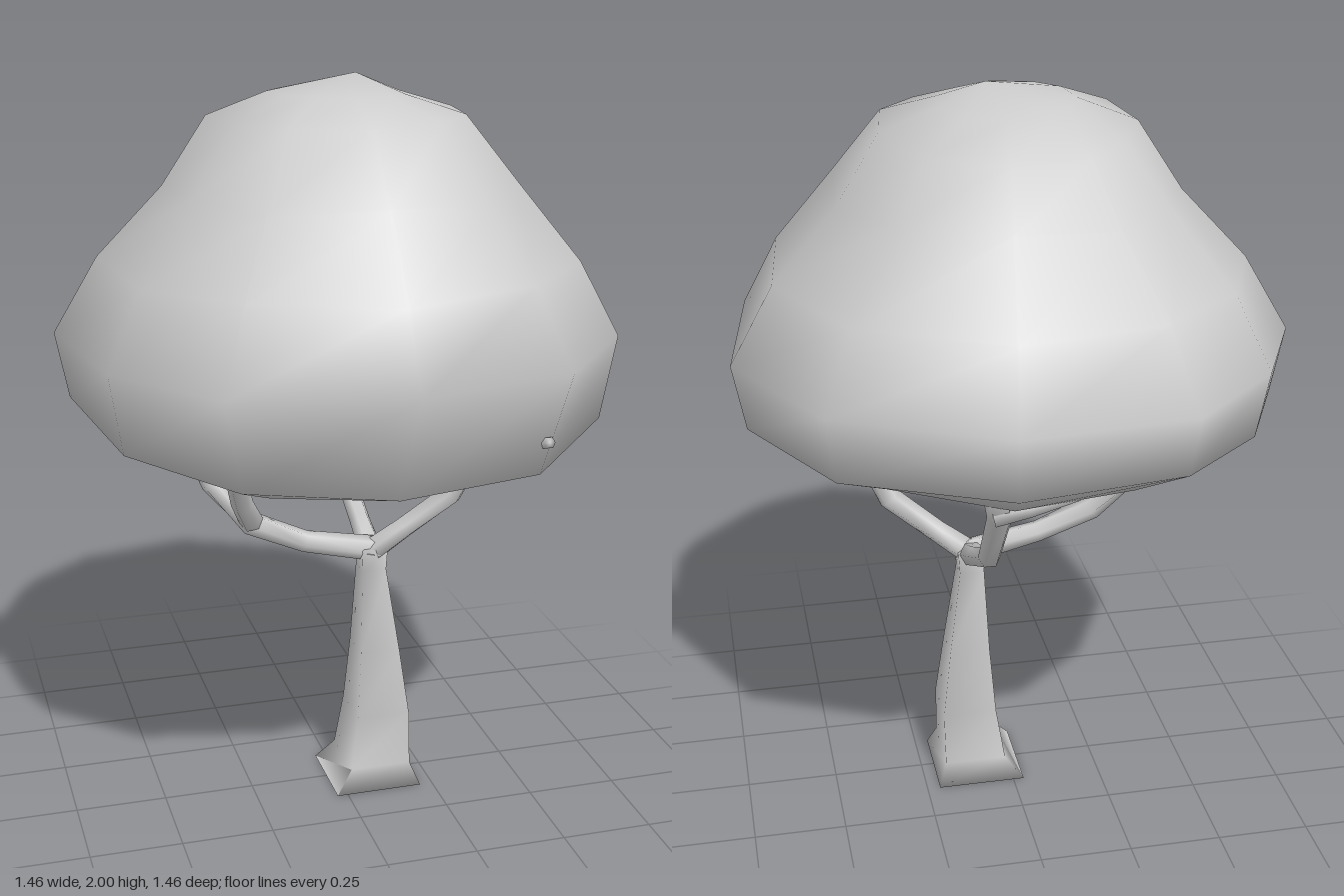
import * as THREE from 'three';

const material = new THREE.MeshStandardMaterial({ color: 0xcccccc });

// Smooth skin over rings of points, closed by a point at each end
function skin(name, rings, start, end) {
  const n = rings[0].length;
  const points = [...rings.flat(), start, end];
  const first = points.length - 2, last = points.length - 1;
  const top = (rings.length - 1) * n;
  const index = [];
  for (let j = 0; j < n; j++) {
    const k = (j + 1) % n;
    index.push(first, k, j, last, top + j, top + k);
    for (let i = 0; i < rings.length - 1; i++) {
      const a = i * n, b = a + n;
      index.push(a + j, a + k, b + k, a + j, b + k, b + j);
    }
  }
  const geometry = new THREE.BufferGeometry().setFromPoints(points);
  geometry.setIndex(index);
  geometry.computeVertexNormals();
  const mesh = new THREE.Mesh(geometry, material);
  mesh.name = name;
  return mesh;
}

// Tapering limb; each path entry is [x, y, z, radius]
function limb(name, path, sides = 6) {
  const pts = path.map(([x, y, z]) => new THREE.Vector3(x, y, z));
  const ref = new THREE.Vector3(0.37, -0.3, 0.88).normalize();
  const total = pts[pts.length - 1].clone().sub(pts[0]).normalize();
  if (Math.abs(ref.dot(total)) > 0.75) ref.set(1, 0, 0);
  const rings = pts.map((p, i) => {
    const before = pts[Math.max(i - 1, 0)], after = pts[Math.min(i + 1, pts.length - 1)];
    const t = after.clone().sub(before).normalize();
    const u = ref.clone().addScaledVector(t, -ref.dot(t)).normalize();
    const v = t.clone().cross(u);
    return Array.from({ length: sides }, (_, j) => {
      const a = (j / sides) * Math.PI * 2, r = path[i][3];
      return p.clone().addScaledVector(u, r * Math.cos(a)).addScaledVector(v, r * Math.sin(a));
    });
  });
  return skin(name, rings, pts[0], pts[pts.length - 1]);
}

// Square trunk that flares at the foot; [y, centre x, half width, half depth]
function makeTrunk() {
  const sections = [
    [0, 0.092, 0.122, 0.122], [0.06, 0.105, 0.086, 0.092], [0.21, 0.117, 0.075, 0.077],
    [0.4, 0.112, 0.056, 0.057], [0.64, 0.1, 0.034, 0.033], [0.7, 0.102, 0.036, 0.034],
  ];
  const corners = [[1, 1], [1, -1], [-1, -1], [-1, 1]];
  const rings = sections.map(([y, cx, w, d]) =>
    corners.map(([sx, sz]) => new THREE.Vector3(cx + sx * w, y, sz * d)));
  return skin('trunk', rings, new THREE.Vector3(0.09, 0.05, 0), new THREE.Vector3(0.1, 0.73, 0));
}

// Crown: one outline repeated at several heights, hollow below and hanging lower at the front
function makeCrown() {
  const outline = [
    [0.11, -0.73], [-0.34, -0.66], [-0.58, -0.45], [-0.73, -0.13], [-0.66, 0.33], [-0.43, 0.59],
    [0, 0.725], [0.43, 0.59], [0.66, 0.33], [0.725, -0.12], [0.53, -0.52],
  ];
  // f, b and l tell how far a point lies to the front, back and left
  const ring = (rule) => outline.map(([x, z], j) => {
    const f = Math.max(0, z) / 0.725, b = Math.max(0, -z) / 0.73, l = Math.max(0, x) / 0.725;
    const [scale, y] = rule(f, b, l, j % 2);
    return new THREE.Vector3(x * scale, y, z * scale);
  });
  const rings = [
    ring((f, b, l) => [0.33, 1.12 - 0.05 * f * f + 0.02 * l]),
    ring((f, b, l) => [0.7 - 0.07 * f,
      1.1 - 0.085 * Math.min(1, 1.5 * f * f) - 0.035 * b + 0.035 * l * (1 - b)]),
    ring((f, b, l) => [0.955 - 0.165 * f ** 4, 1.16 - 0.11 * f * f + 0.02 * b - 0.06 * l * f * f]),
    ring((f, b, l, odd) => [1, 1.35 - 0.01 * odd]),
    ring((f, b, l, odd) => [0.86 - 0.02 * odd, 1.54]),
    ring((f, b, l, odd) => [0.61 + 0.05 * f - 0.01 * b, 1.74 - 0.02 * odd]),
    ring((f, b) => [0.45, 1.905 - 0.035 * b]),
    ring((f, b, l) => [0.24, 1.96 - 0.015 * b - 0.01 * l]),
  ];
  return skin('crown', rings, new THREE.Vector3(0, 1.12, 0), new THREE.Vector3(0.05, 2, 0));
}

export function createModel() {
  const tree = new THREE.Group();
  tree.name = 'tree';
  tree.add(makeTrunk(), makeCrown());

  const branches = new THREE.Group();
  branches.name = 'branches';
  branches.add(
    // Left side: rising branch and a twig that runs forward
    limb('leftBranch', [[0.09, 0.68, 0, 0.036], [0.19, 0.755, 0.02, 0.031], [0.31, 0.85, 0.05, 0.033],
      [0.385, 1.02, 0.09, 0.036], [0.41, 1.13, 0.09, 0.045]]),
    limb('leftTwig', [[0.41, 1.07, 0.07, 0.038], [0.39, 1.08, 0.2, 0.03], [0.36, 1.095, 0.36, 0.02],
      [0.385, 1.16, 0.562, 0.015]]),
    // Back: rising branch and a twig across to the right
    limb('backBranch', [[0.1, 0.68, 0.01, 0.036], [0.1, 0.735, -0.11, 0.03], [0.1, 0.825, -0.29, 0.03],
      [0.1, 1.02, -0.44, 0.034], [0.11, 1.11, -0.47, 0.042]]),
    limb('backTwig', [[0.12, 1.03, -0.45, 0.034], [0.03, 1.05, -0.46, 0.03], [-0.09, 1.08, -0.465, 0.024]]),
    // Right side: long curved branch and a twig that runs forward
    limb('rightBranch', [[0.12, 0.69, 0, 0.036], [-0.09, 0.735, 0, 0.03], [-0.24, 0.8, -0.01, 0.034],
      [-0.335, 0.91, -0.05, 0.032], [-0.4, 1.08, -0.13, 0.029], [-0.43, 1.13, -0.15, 0.022]]),
    limb('rightTwig', [[-0.24, 0.81, 0, 0.033], [-0.28, 0.89, 0.07, 0.03], [-0.32, 1.01, 0.17, 0.027],
      [-0.33, 1.12, 0.23, 0.022]]),
  );
  tree.add(branches);
  return tree;
}
